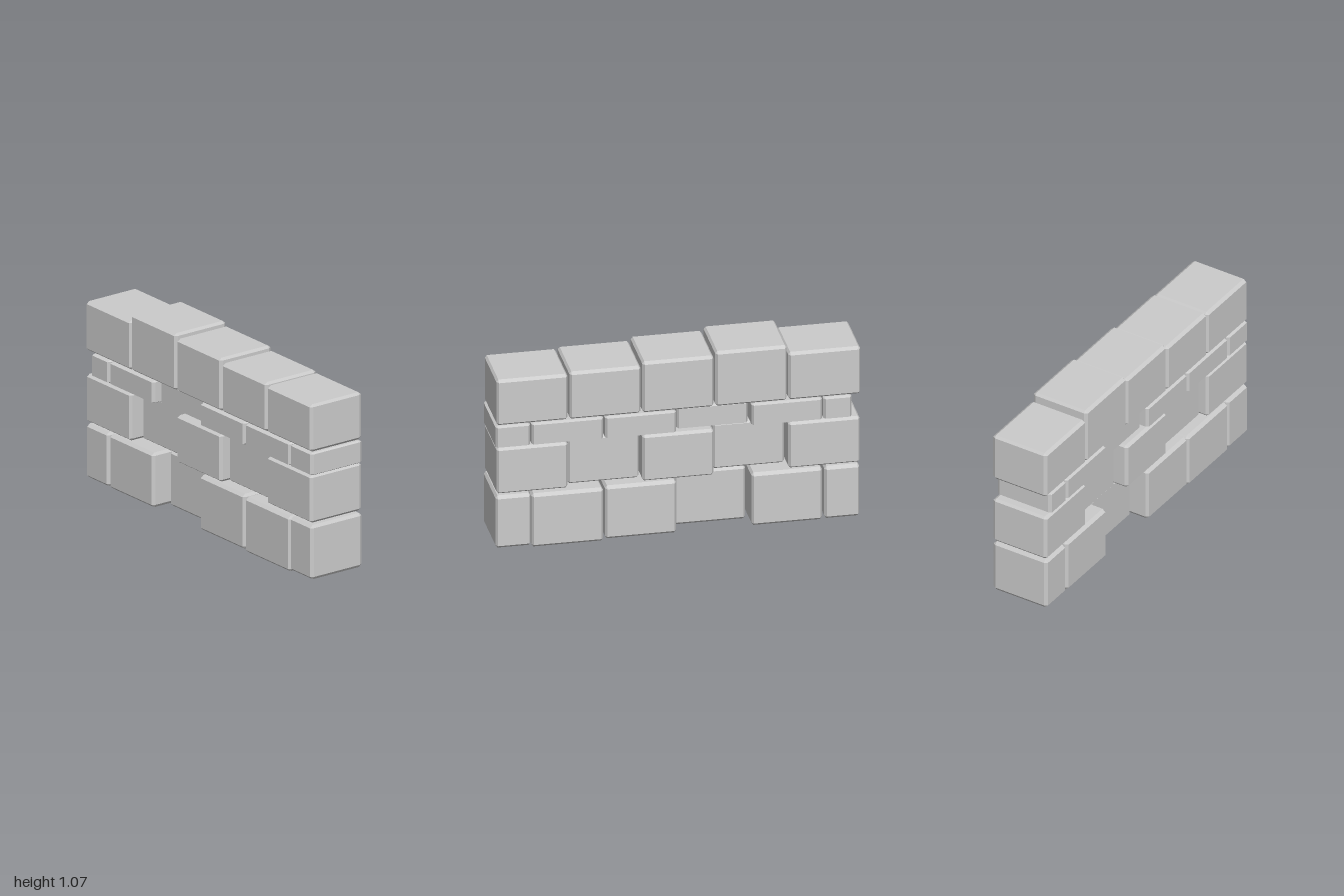
import * as THREE from 'three';
import { ConvexGeometry } from 'three/addons/geometries/ConvexGeometry.js';

const HALF = 0.173; // half thickness of the wall
const material = new THREE.MeshStandardMaterial({ color: 0xcccccc, flatShading: true });

// Box with flat chamfers on every edge; inset gives the chamfer along each axis
function chamferedBox(size, inset) {
  const points = [];
  for (const sx of [-1, 1]) for (const sy of [-1, 1]) for (const sz of [-1, 1]) {
    const sign = [sx, sy, sz];
    for (let full = 0; full < 3; full++) {
      points.push(new THREE.Vector3(
        ...size.map((s, i) => sign[i] * (s / 2 - (i === full ? 0 : inset[i])))
      ));
    }
  }
  return new ConvexGeometry(points);
}

// Each block: [z front, z back, bottom, top, recess from both wall faces]
const courses = [
  { name: 'bottomCourse', bevelY: 0.016, blocks: [
    [1, 0.807, 0.012, 0.323, 0],
    [0.803, 0.41, 0, 0.317, 0],
    [0.4, 0.01, 0.01, 0.325, 0],
    [0, -0.39, 0.006, 0.325, 0.105],
    [-0.403, -0.79, 0.012, 0.325, 0],
    [-0.803, -0.995, 0.015, 0.325, 0],
  ] },
  { name: 'secondCourse', bevelY: 0.013, blocks: [
    [0.995, 0.605, 0.335, 0.608, 0],
    [0.595, 0.205, 0.335, 0.608, 0.048],
    [0.195, -0.195, 0.335, 0.608, 0],
    [-0.205, -0.597, 0.335, 0.608, 0.075],
    [-0.605, -0.997, 0.335, 0.608, 0],
  ] },
  { name: 'thinCourse', bevelY: 0.007, blocks: [
    [1, 0.81, 0.608, 0.737, 0],
    [0.803, 0.41, 0.608, 0.737, 0],
    [0.4, 0.01, 0.608, 0.737, 0],
    [0, -0.39, 0.608, 0.737, 0.04],
    [-0.403, -0.79, 0.608, 0.737, 0],
    [-0.797, -0.952, 0.608, 0.737, 0],
  ] },
  { name: 'topCourse', bevelY: 0.014, blocks: [
    [0.995, 0.605, 0.742, 1.013, 0],
    [0.595, 0.205, 0.742, 1.023, 0],
    [0.195, -0.195, 0.742, 1.045, 0],
    [-0.205, -0.597, 0.742, 1.068, 0],
    [-0.605, -1, 0.742, 1.024, 0],
  ] },
];

export function createModel() {
  const wall = new THREE.Group();
  wall.name = 'stoneWall';
  for (const { name, bevelY, blocks } of courses) {
    const course = new THREE.Group();
    course.name = name;
    blocks.forEach(([front, back, bottom, top, recess], i) => {
      const size = [2 * (HALF - recess), top - bottom, front - back];
      const block = new THREE.Mesh(chamferedBox(size, [0.018, bevelY, 0.011]), material);
      block.name = `stoneBlock${i + 1}`;
      block.position.set(0, (top + bottom) / 2, (front + back) / 2);
      course.add(block);
    });
    wall.add(course);
  }
  return wall;
}
